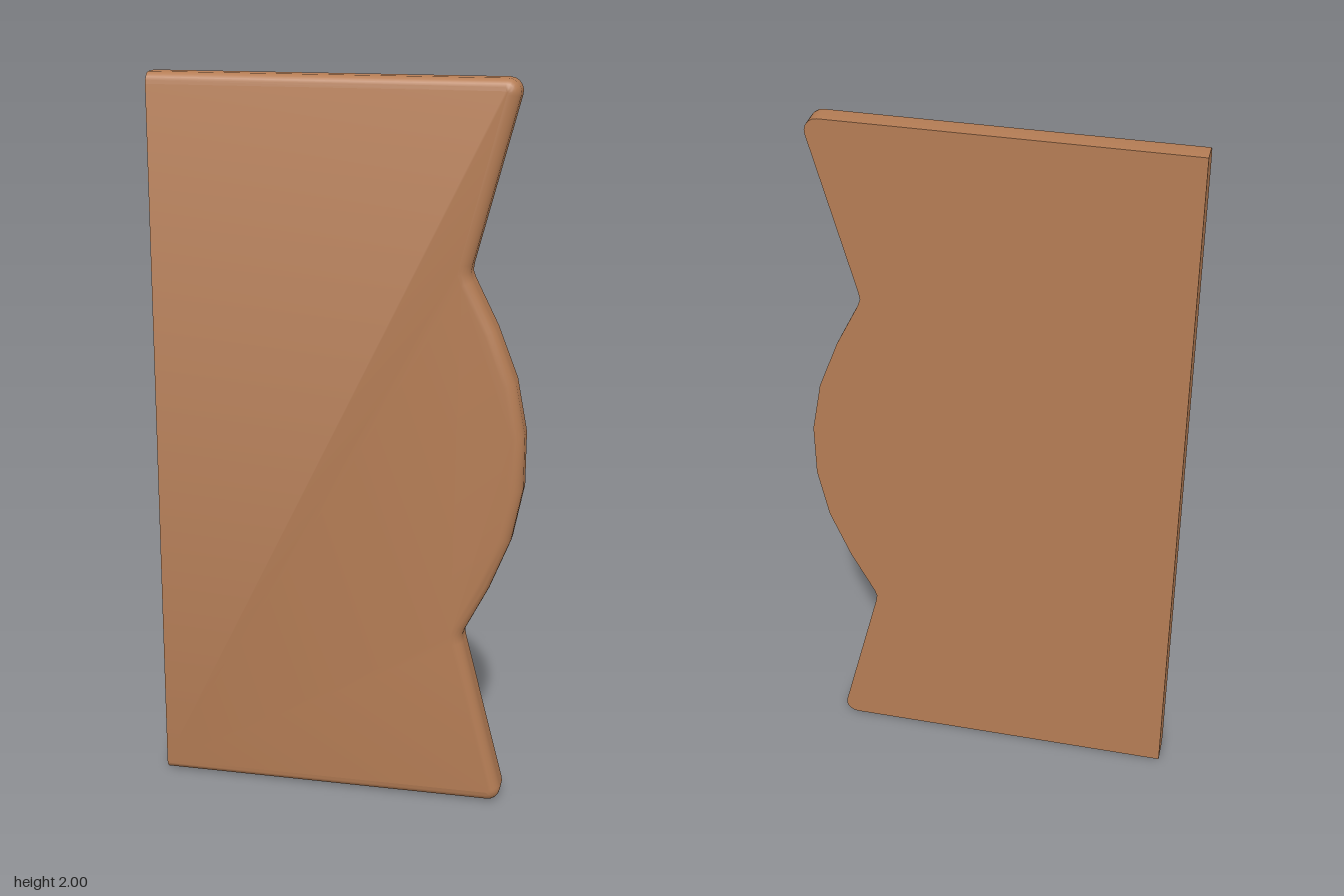
import * as THREE from 'three';
import { toCreasedNormals } from 'three/addons/utils/BufferGeometryUtils.js';

const BACK = -0.039, FRONT = 0.039, LEFT = -0.505, BEVEL = 0.03;

// Upper half of the edge, from the straight side round to the middle of the bulge
function edgeOutline() {
  const half = [[LEFT, 2]];
  for (let i = 0; i <= 5; i++) {
    const a = THREE.MathUtils.degToRad(90 - 104 * i / 5);
    half.push([0.431 + 0.035 * Math.cos(a), 1.965 + 0.035 * Math.sin(a)]);
  }
  half.push([0.353, 1.525], [0.35, 1.505], [0.357, 1.485]);
  half.push([0.42, 1.36], [0.475, 1.22], [0.503, 1.075]);
  const lower = half.map(([x, y]) => [x, 2 - y]).reverse();
  return [...half, ...lower].map(([x, y]) => new THREE.Vector2(x, y));
}

// Move the open outline inwards with mitred corners
function inset(points, d) {
  const normal = (a, b) => new THREE.Vector2(a.y - b.y, b.x - a.x).normalize();
  return points.map((p, i) => {
    const prev = points[i - 1], next = points[i + 1];
    const n1 = prev ? normal(prev, p) : normal(p, next);
    const n2 = next ? normal(p, next) : n1;
    const m = n1.clone().add(n2);
    return p.clone().addScaledVector(m, -d / (1 + n1.dot(n2)));
  });
}

function panelGeometry() {
  const outline = edgeOutline(), n = outline.length;

  // Cross-sections from the flat back to the rounded front edge
  const levels = [[0, BACK]];
  for (let i = 0; i <= 5; i++) {
    const a = i / 5 * Math.PI / 2;
    levels.push([BEVEL * (1 - Math.cos(a)), FRONT - BEVEL * (1 - Math.sin(a))]);
  }
  const rings = levels.map(([d, z]) =>
    inset(outline, d).map(p => new THREE.Vector3(p.x, p.y, z)));

  const pos = [];
  const tri = (...v) => v.forEach(p => pos.push(p.x, p.y, p.z));

  for (let k = 0; k < rings.length - 1; k++) {
    const r = rings[k], s = rings[k + 1];
    // Shaped edge
    for (let i = 0; i < n - 1; i++) {
      tri(r[i], s[i], s[i + 1]);
      tri(r[i], s[i + 1], r[i + 1]);
    }
    // Straight flat side
    tri(r[0], s[n - 1], s[0]);
    tri(r[0], r[n - 1], s[n - 1]);
  }

  // Front and back faces
  const cap = (ring, front) => {
    const c = [...ring].reverse();
    const flat = c.map(p => new THREE.Vector2(p.x, p.y));
    for (const [a, b, d] of THREE.ShapeUtils.triangulateShape(flat, [])) {
      const area = (flat[b].x - flat[a].x) * (flat[d].y - flat[a].y)
        - (flat[b].y - flat[a].y) * (flat[d].x - flat[a].x);
      if ((area > 0) === front) tri(c[a], c[b], c[d]);
      else tri(c[a], c[d], c[b]);
    }
  };
  cap(rings[rings.length - 1], true);
  cap(rings[0], false);

  const g = new THREE.BufferGeometry();
  g.setAttribute('position', new THREE.Float32BufferAttribute(pos, 3));
  return toCreasedNormals(g, 0.7);
}

export function createModel() {
  const group = new THREE.Group();
  group.name = 'shapedDoor';
  const panel = new THREE.Mesh(panelGeometry(),
    new THREE.MeshStandardMaterial({ color: 0xb57d55 }));
  panel.name = 'doorPanel';
  group.add(panel);
  return group;
}
